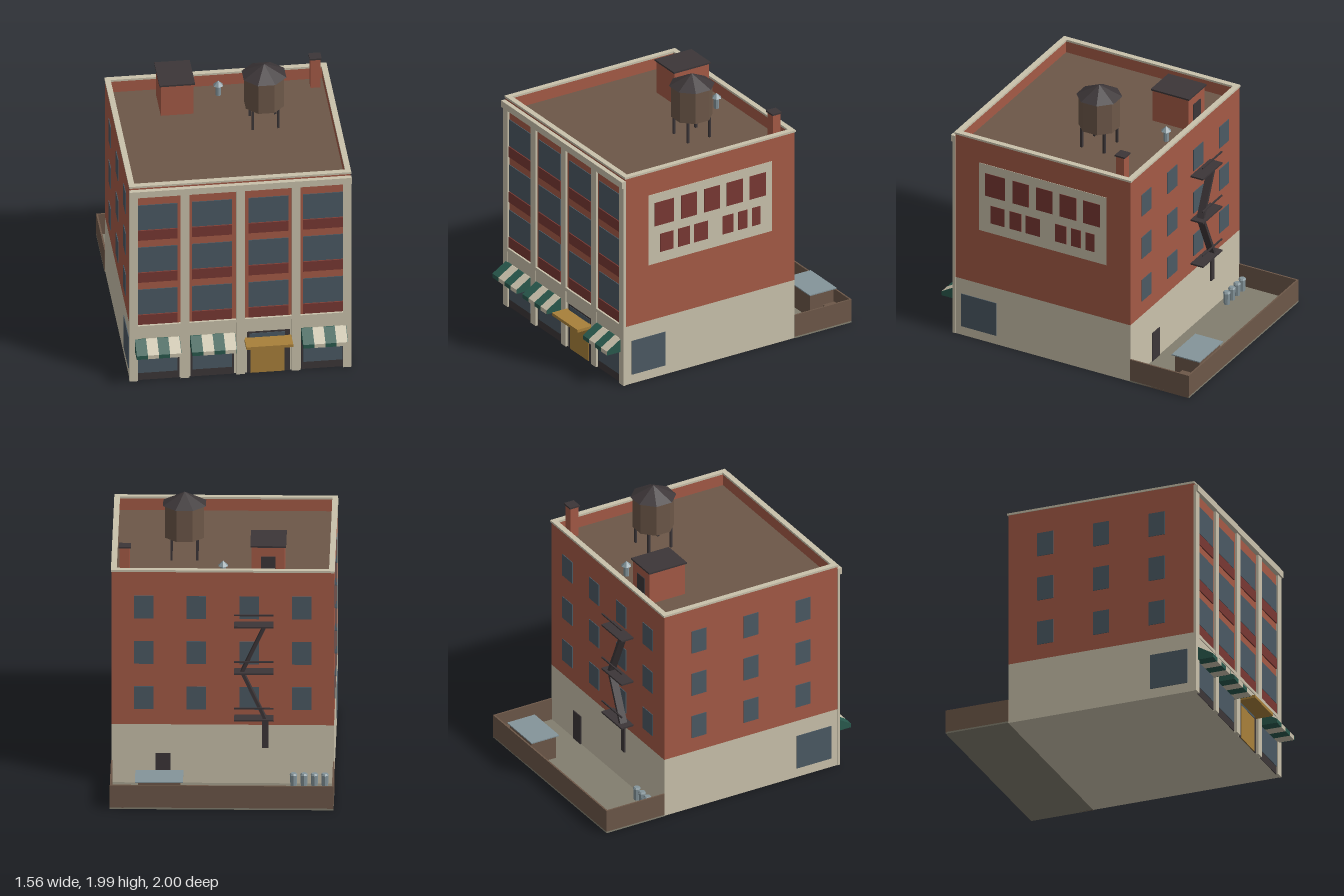
import * as THREE from 'three';

const colours = {
  brick: 0xa45a46, stone: 0xc9c1ab, darkRed: 0x783833, glass: 0x4b5963, iron: 0x3c3638,
  brown: 0x6c5748, green: 0x29594d, gold: 0xa8803a, metal: 0x84949a, paving: 0x827e6f,
};
const M = {};

export function createModel() {
  for (const [name, color] of Object.entries(colours)) {
    M[name] = new THREE.MeshStandardMaterial({ color });
    M[name].name = name;
  }
  const root = new THREE.Group();
  root.name = 'cornerBuilding';

  const group = (name) => {
    const g = new THREE.Group();
    g.name = name;
    root.add(g);
    return g;
  };
  const add = (parent, name, geo, mat) => {
    const m = new THREE.Mesh(geo, mat);
    m.name = name;
    parent.add(m);
    return m;
  };
  // Box given by its limits on each axis
  const box = (parent, name, mat, x0, x1, y0, y1, z0, z1) => {
    const m = add(parent, name, new THREE.BoxGeometry(x1 - x0, y1 - y0, z1 - z0), mat);
    m.position.set((x0 + x1) / 2, (y0 + y1) / 2, (z0 + z1) / 2);
    return m;
  };
  // Faceted cylinder or cone
  const drum = (parent, name, mat, rTop, rBottom, y0, y1, sides, x, z, turn = 0) => {
    const g = new THREE.CylinderGeometry(rTop, rBottom, y1 - y0, sides).toNonIndexed();
    g.computeVertexNormals();
    const m = add(parent, name, g, mat);
    m.position.set(x, (y0 + y1) / 2, z);
    m.rotation.y = turn;
    return m;
  };
  // Rectangular ring of four walls
  const ring = (parent, name, mat, X, y0, y1, z0, z1, t) => {
    box(parent, name, mat, -X, X, y0, y1, z1 - t, z1);
    box(parent, name, mat, -X, X, y0, y1, z0, z0 + t);
    for (const s of [-1, 1]) {
      const a = s * X, b = s * (X - t);
      box(parent, name, mat, Math.min(a, b), Math.max(a, b), y0, y1, z0 + t, z1 - t);
    }
  };

  // Main walls, roof deck and parapet
  const X = 0.775, ZB = -0.53, ZF = 0.87, ROOF = 1.5;
  const shell = group('shell');
  box(shell, 'stoneBase', M.stone, -X, X, 0, 0.45, ZB, ZF);
  box(shell, 'brickWalls', M.brick, -X, X, 0.45, ROOF, ZB, ZF);
  box(shell, 'roofDeck', M.brown, -X + 0.03, X - 0.03, ROOF, ROOF + 0.006, ZB + 0.03, ZF - 0.03);
  ring(shell, 'parapet', M.brick, X, ROOF, 1.595, ZB, ZF, 0.03);
  ring(shell, 'coping', M.stone, X + 0.005, 1.595, 1.61, ZB - 0.007, ZF + 0.005, 0.04);

  // Front facade: pilasters, cornice and fascia
  const front = group('frontFacade');
  for (const x of [-0.75, -0.39, 0, 0.39, 0.75])
    box(front, 'pilaster', M.stone, x - 0.03, x + 0.03, 0, 1.53, ZF, 0.888);
  box(front, 'cornice', M.stone, -0.78, 0.78, 1.53, 1.58, ZF, 0.903);
  box(front, 'fascia', M.stone, -0.77, 0.77, 0.345, 0.43, ZF, 0.882);
  box(front, 'ledge', M.stone, -0.77, 0.77, 0.43, 0.455, ZF, 0.887);

  // Upper windows with panels below
  const bays = [-0.58, -0.198, 0.198, 0.58];
  for (const x of bays)
    for (let f = 0; f < 3; f++) {
      const y = 0.46 + f * 0.35;
      box(front, 'windowPanel', M.darkRed, x - 0.14, x + 0.14, y, y + 0.08, ZF, ZF + 0.008);
      box(front, 'frontWindow', M.glass, x - 0.14, x + 0.14, y + 0.086, y + 0.29, ZF, ZF + 0.006);
    }

  // Shop fronts with striped awnings
  const profile = new THREE.Shape([[0.87, 0.25], [1, 0.25], [1, 0.28], [0.888, 0.347], [0.87, 0.347]]
    .map(([z, y]) => new THREE.Vector2(z, y)));
  const prism = (parent, name, mat, x0, x1) => {
    const g = new THREE.ExtrudeGeometry(profile, { depth: x1 - x0, bevelEnabled: false });
    g.rotateY(-Math.PI / 2);
    add(parent, name, g, mat).position.x = x1;
  };
  const shops = group('shopFronts');
  bays.forEach((x, i) => {
    box(shops, 'shopFrame', M.iron, x - 0.152, x + 0.152, 0, 0.345, ZF, ZF + 0.004);
    if (i === 2) return;
    box(shops, 'shopWindow', M.glass, x - 0.138, x + 0.138, 0.06, 0.335, ZF, ZF + 0.008);
    const left = [-0.742, -0.353, 0, 0.427][i], w = 0.078;
    for (let s = 0; s < 4; s++)
      prism(shops, 'awningStripe', s % 2 ? M.stone : M.green, left + s * w, left + (s + 1) * w);
    prism(shops, 'awningEnd', M.green, left + 4 * w, left + 4 * w + 0.003);
  });

  // Main entrance
  const entrance = group('entrance');
  box(entrance, 'transom', M.glass, 0.065, 0.315, 0.255, 0.325, ZF, ZF + 0.007);
  box(entrance, 'doors', M.gold, 0.07, 0.31, 0, 0.25, ZF, ZF + 0.009);
  box(entrance, 'canopy', M.gold, 0.028, 0.357, 0.27, 0.292, ZF, 1);

  // Painted wall panel on the left side
  const sign = group('paintedPanel');
  box(sign, 'panel', M.stone, X, X + 0.003, 0.88, 1.42, -0.34, 0.68);
  const rows = [
    [1.17, 1.35, [[0.47, 0.63], [0.28, 0.41], [0.09, 0.22], [-0.1, 0.035], [-0.29, -0.155]]],
    [0.96, 1.1, [[0.475, 0.585], [0.34, 0.435], [0.19, 0.305], [-0.02, 0.07], [-0.135, -0.06], [-0.245, -0.175]]],
  ];
  for (const [y0, y1, spans] of rows)
    for (const [z0, z1] of spans) box(sign, 'panelBlock', M.darkRed, X, X + 0.006, y0, y1, z0, z1);

  // Side and rear windows, rear door
  const openings = group('sideAndRearOpenings');
  for (const s of [-1, 1])
    box(openings, 'sideShopWindow', M.glass, s * X - 0.005, s * X + 0.005, 0.07, 0.33, 0.54, 0.82);
  for (const y of [0.65, 0.99, 1.33]) {
    for (const z of [-0.25, 0.17, 0.59])
      box(openings, 'sideWindow', M.glass, -X - 0.005, -X, y - 0.088, y + 0.088, z - 0.06, z + 0.06);
    for (const x of [-0.55, -0.185, 0.185, 0.55])
      box(openings, 'rearWindow', M.glass, x - 0.068, x + 0.068, y - 0.085, y + 0.085, ZB - 0.005, ZB);
  }
  box(openings, 'rearDoor', M.iron, 0.365, 0.47, 0.01, 0.235, ZB - 0.007, ZB);

  // Fire escape
  const escape = group('fireEscape');
  const levels = [0.52, 0.87, 1.22];
  levels.forEach((y, i) => {
    box(escape, 'landing', M.iron, -0.355, -0.08, y - 0.006, y + 0.006, -0.63, ZB);
    box(escape, 'rail', M.iron, -0.355, -0.08, y + 0.085, y + 0.095, -0.63, -0.62);
    if (i === 2) return;
    const dx = i ? -0.16 : 0.16, dy = 0.35;
    const stair = add(escape, 'stair', new THREE.BoxGeometry(0.022, Math.hypot(dx, dy), 0.055), M.iron);
    stair.position.set(-0.215, y + dy / 2, -0.58);
    stair.rotation.z = -Math.atan2(dx, dy);
  });
  box(escape, 'dropLadder', M.iron, -0.32, -0.275, 0.3, 0.52, -0.587, -0.575);

  // Rear yard with low walls, lean-to, crate and bins
  const yard = group('yard');
  box(yard, 'yardFloor', M.paving, -0.78, 0.78, 0, 0.012, -1, ZB);
  box(yard, 'rearYardWall', M.brown, -0.78, 0.78, 0, 0.178, -1, -0.988);
  for (const s of [-1, 1])
    box(yard, 'sideYardWall', M.brown, s * 0.774 - 0.006, s * 0.774 + 0.006, 0, 0.178, -0.988, ZB);
  box(yard, 'leanTo', M.brown, 0.29, 0.585, 0.012, 0.192, -0.975, -0.78);
  box(yard, 'leanToRoof', M.metal, 0.27, 0.605, 0.192, 0.2, -0.987, -0.765);
  box(yard, 'crate', M.brown, 0.625, 0.72, 0.012, 0.11, -0.955, -0.86);
  for (let i = 0; i < 4; i++) {
    const x = -0.713 + i * 0.073;
    drum(yard, 'bin', M.metal, 0.025, 0.022, 0.012, 0.1, 8, x, -0.587);
    drum(yard, 'binLid', M.metal, 0.02, 0.028, 0.1, 0.112, 8, x, -0.587);
  }

  // Stair house and chimney on the roof
  const roof = group('roofStructures');
  box(roof, 'stairHouse', M.brick, -0.43, -0.2, ROOF, 1.75, -0.445, -0.16);
  box(roof, 'stairHouseRoof', M.iron, -0.44, -0.19, 1.75, 1.762, -0.455, -0.15);
  box(roof, 'stairHouseDoor', M.iron, -0.365, -0.265, ROOF, 1.68, -0.451, -0.445);
  box(roof, 'chimney', M.brick, 0.65, 0.72, ROOF, 1.738, -0.45, -0.385);
  box(roof, 'chimneyCap', M.iron, 0.643, 0.727, 1.738, 1.75, -0.457, -0.378);
  drum(roof, 'ventPipe', M.metal, 0.02, 0.02, ROOF, 1.59, 8, 0, -0.38);
  drum(roof, 'ventCap', M.metal, 0, 0.038, 1.585, 1.622, 6, 0, -0.38);

  // Eight-sided water tank on legs
  const tank = group('waterTank');
  const TX = 0.275, turn = Math.PI / 8;
  drum(tank, 'tankBody', M.brown, 0.146, 0.146, 1.66, 1.9, 8, TX, 0, turn);
  drum(tank, 'tankRoof', M.iron, 0, 0.162, 1.9, 1.985, 8, TX, 0, turn);
  for (const sx of [-1, 1])
    for (const sz of [-1, 1]) {
      const x = TX + sx * 0.09, z = sz * 0.09;
      box(tank, 'tankLeg', M.iron, x - 0.008, x + 0.008, ROOF, 1.66, z - 0.008, z + 0.008);
    }
  return root;
}
